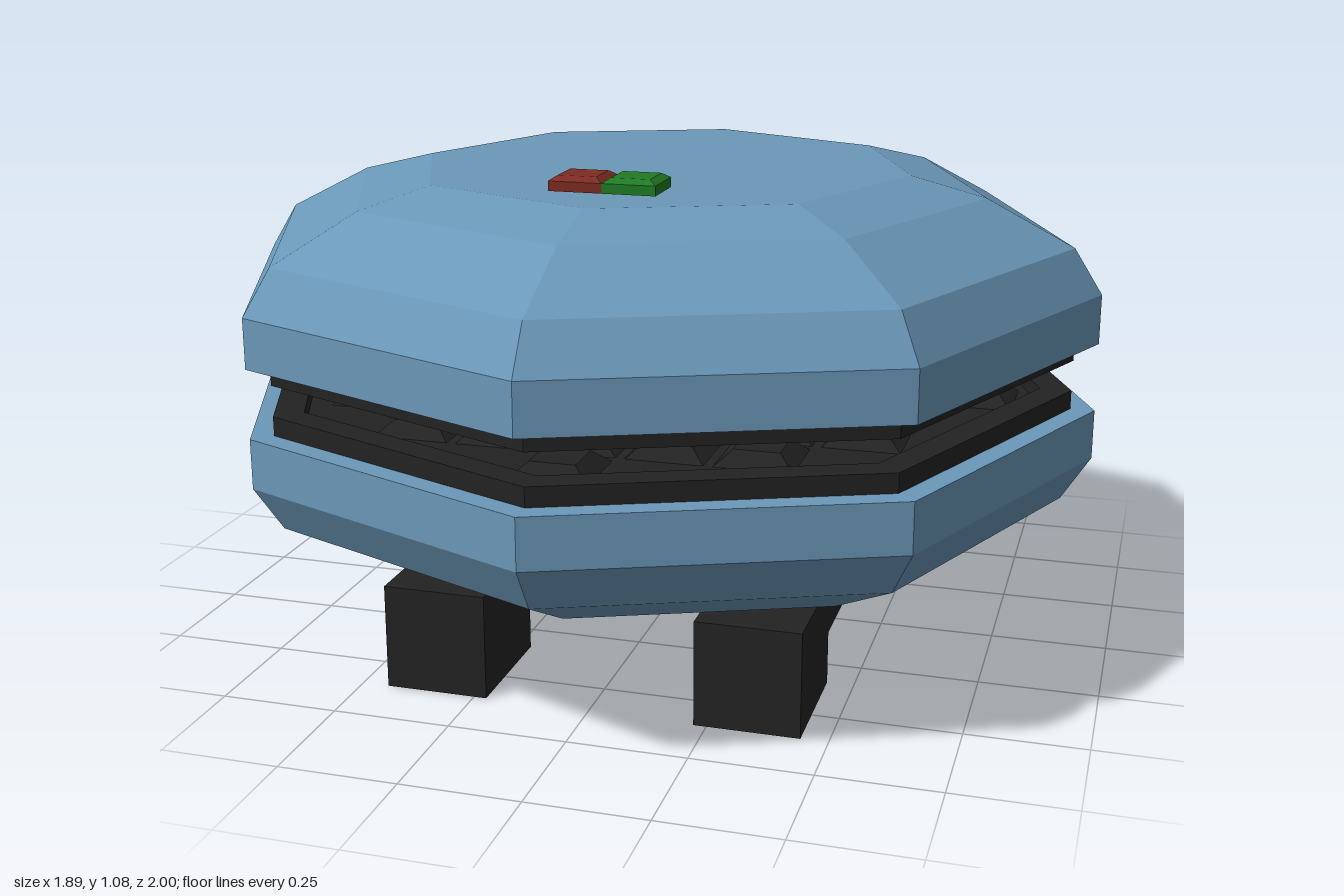
import * as THREE from 'three';

const mat = (name, color, side = THREE.FrontSide) => {
  const m = new THREE.MeshStandardMaterial({ color, flatShading: true, side });
  m.name = name;
  return m;
};

export function createModel() {
  const blue = mat('blue enamel', 0x6b98b9);
  const black = mat('black plastic', 0x232323);
  const red = mat('red light', 0x7c2c22);
  const green = mat('green light', 0x1f7a24);

  const model = new THREE.Group();
  model.name = 'waffleIron';
  const bodyZ = 0.055;

  const add = (parent, name, geometry, material, x = 0, y = 0, z = 0) => {
    const mesh = new THREE.Mesh(geometry, material);
    mesh.name = name;
    mesh.position.set(x, y, z);
    parent.add(mesh);
    return mesh;
  };
  // Box given by its min and max corners
  const box = (parent, name, material, [x0, y0, z0], [x1, y1, z1]) =>
    add(parent, name, new THREE.BoxGeometry(x1 - x0, y1 - y0, z1 - z0), material,
      (x0 + x1) / 2, (y0 + y1) / 2, (z0 + z1) / 2);
  // Eight-sided turned solid
  const octagon = (points) =>
    new THREE.LatheGeometry(points.map(([r, y]) => new THREE.Vector2(r, y)), 8);

  // One half of the iron, built as the lid with y = 0 on the shell's open edge
  const shellProfile = [[0, 0], [0.945, 0], [0.945, 0.105], [0.885, 0.2], [0.7, 0.295], [0.54, 0.335], [0, 0.335]];
  const rimProfile = [[0.83, 0], [0.83, -0.04], [0.895, -0.04], [0.895, 0]];
  const makeHalf = (name) => {
    const half = new THREE.Group();
    half.name = name;
    add(half, 'shell', octagon(shellProfile), blue);
    add(half, 'plateRim', octagon(rimProfile), black);
    add(half, 'plateFloor', octagon([[0, -0.008], [0.84, -0.008], [0.84, 0]]), black);
    // Waffle studs inside the rim
    const stud = new THREE.CylinderGeometry(0.112, 0.065, 0.03, 4);
    stud.rotateY(Math.PI / 4);
    for (let i = -4; i <= 4; i++) {
      for (let j = -4; j <= 4; j++) {
        const x = i * 0.175, z = j * 0.175;
        if (Math.hypot(x, z) < 0.71) add(half, 'waffleStud', stud, black, x, -0.022, z);
      }
    }
    half.position.z = bodyZ;
    model.add(half);
    return half;
  };
  makeHalf('lid').position.y = 0.705;
  const base = makeHalf('base');
  base.position.y = 0.56;
  base.rotation.x = Math.PI; // turned over to face the lid

  // Hinge blocks at the back
  box(model, 'lowerHinge', black, [-0.11, 0.52, -1], [0.11, 0.63, -0.89]);
  box(model, 'upperHinge', black, [-0.11, 0.63, -1], [0.11, 0.74, -0.89]);

  // Legs: two feet joined by a bar on each side
  for (const side of [-1, 1]) {
    const leg = new THREE.Group();
    leg.name = side > 0 ? 'leftLeg' : 'rightLeg';
    leg.position.x = side * 0.333;
    box(leg, 'frontFoot', black, [-0.11, 0, 0.34], [0.11, 0.225, 0.61]);
    box(leg, 'backFoot', black, [-0.11, 0, -0.5], [0.11, 0.225, -0.225]);
    box(leg, 'legBar', black, [-0.11, 0.115, -0.225], [0.11, 0.225, 0.34]);
    model.add(leg);
  }

  // Indicator lights with bevelled top edges
  const light = (name, material, x) => {
    const g = new THREE.BoxGeometry(0.11, 0.02, 0.11);
    add(model, name, g, material, x, 1.06, 0.433);
    const top = new THREE.CylinderGeometry(0.04 * Math.SQRT2, 0.055 * Math.SQRT2, 0.01, 4);
    top.rotateY(Math.PI / 4);
    add(model, name + 'Top', top, material, x, 1.075, 0.433);
  };
  light('redLight', red, -0.055);
  light('greenLight', green, 0.055);

  return model;
}
